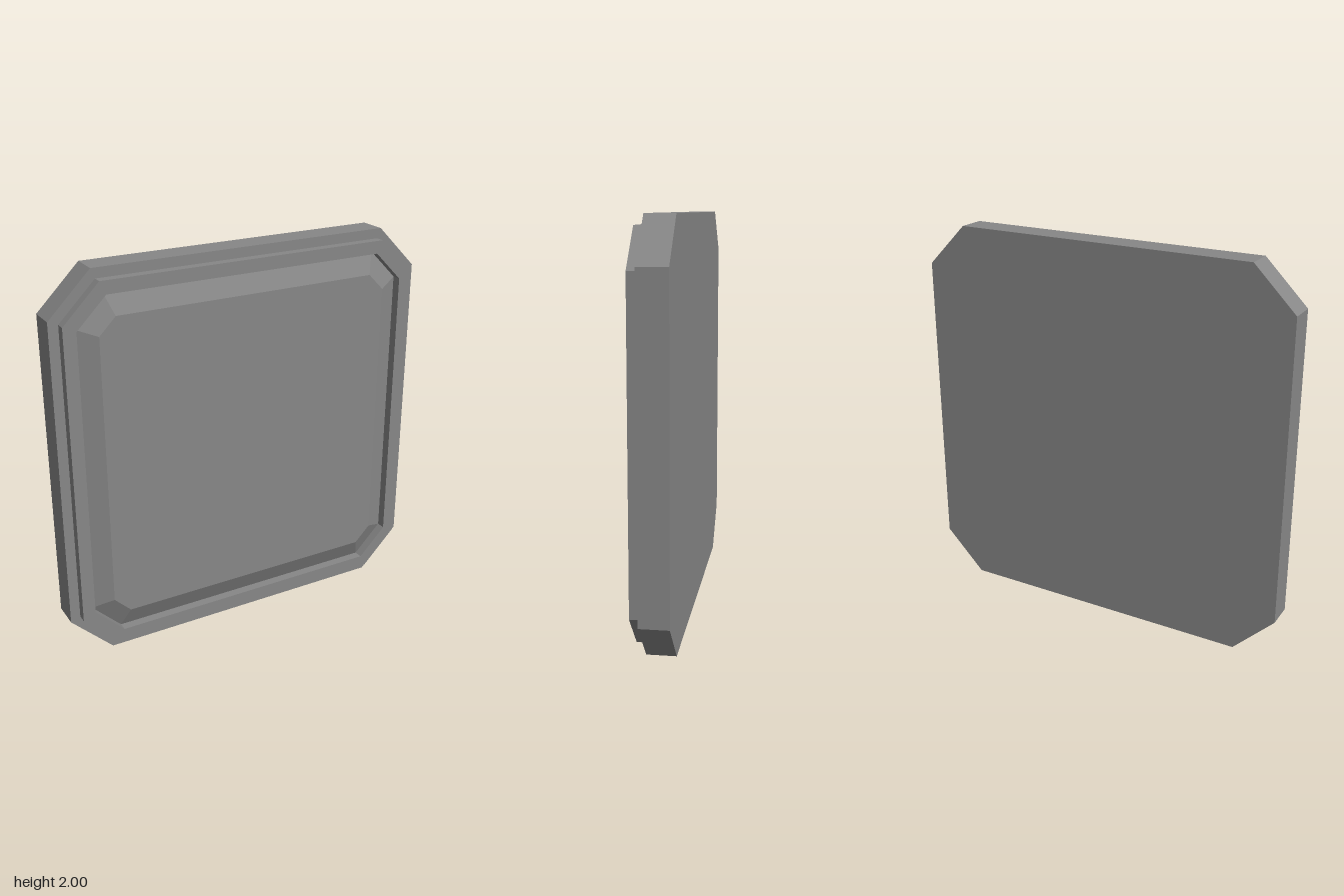
import * as THREE from 'three';
import { ConvexGeometry } from 'three/addons/geometries/ConvexGeometry.js';

const BACK = -0.095, STEP = 0.047, FRONT = 0.095;

// Square of half-width h with cut corners; c is where each straight edge ends
function octagon(h, c) {
  return [[h, -c], [h, c], [c, h], [-c, h], [-h, c], [-h, -c], [-c, -h], [c, -h]]
    .map(([x, y]) => new THREE.Vector2(x, y));
}

function plate(outer, z0, z1, hole) {
  const shape = new THREE.Shape(outer);
  if (hole) shape.holes.push(new THREE.Path(hole));
  const geometry = new THREE.ExtrudeGeometry(shape, { depth: z1 - z0, bevelEnabled: false });
  return geometry.translate(0, 0, z0);
}

export function createModel() {
  const model = new THREE.Group();
  model.name = 'octagonalPanel';
  const material = new THREE.MeshStandardMaterial({ color: 0x878787, flatShading: true });

  function add(name, geometry) {
    const mesh = new THREE.Mesh(geometry, material);
    mesh.name = name;
    mesh.position.y = 1;
    model.add(mesh);
  }

  // Thick backing slab
  add('backSlab', plate(octagon(1, 0.785), BACK, STEP));

  // Raised frame around the edge
  add('rim', plate(octagon(0.95, 0.765), STEP, FRONT, octagon(0.885, 0.735)));

  // Centre panel with sloping sides, level with the rim
  const at = (points, z) => points.map((p) => new THREE.Vector3(p.x, p.y, z));
  add('centrePanel', new ConvexGeometry([
    ...at(octagon(0.885, 0.735), STEP),
    ...at(octagon(0.78, 0.695), FRONT),
  ]));

  return model;
}
